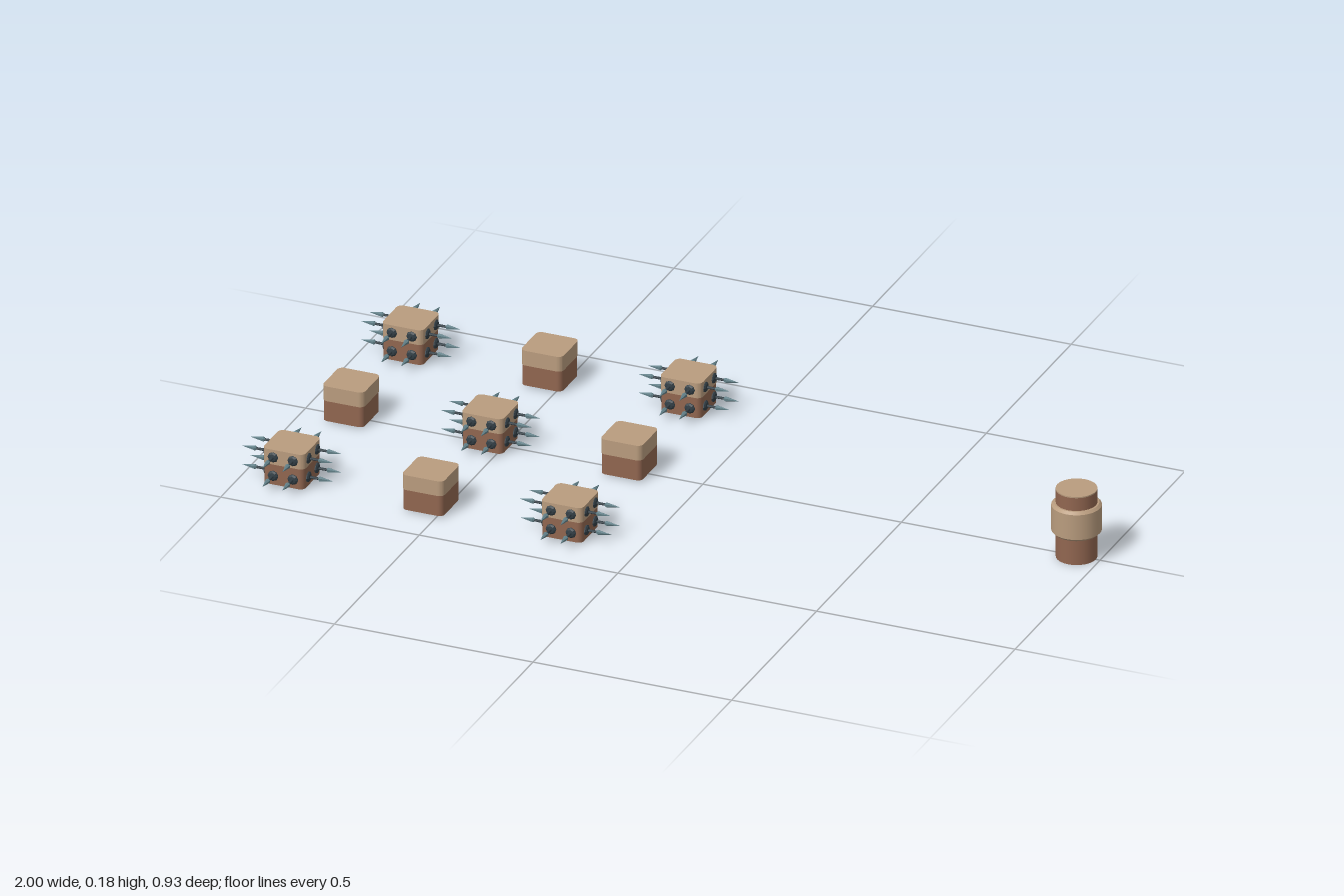
import * as THREE from 'three';

const mat = (name, color, flatShading = false) => {
  const m = new THREE.MeshStandardMaterial({ color, flatShading });
  m.name = name;
  return m;
};

export function createModel() {
  const brown = mat('brown', 0x916650);
  const tan = mat('tan', 0xb99c7e);
  const slate = mat('darkSlate', 0x323e45, true);
  const steel = mat('steelTeal', 0x628088, true);

  const add = (parent, name, geometry, material) => {
    const mesh = new THREE.Mesh(geometry, material);
    mesh.name = name;
    parent.add(mesh);
    return mesh;
  };

  // Upright slab with a rounded square footprint
  const slab = (half, r, y0, y1) => {
    const s = new THREE.Shape();
    const c = half - r;
    [[c, c], [-c, c], [-c, -c], [c, -c]].forEach(([x, y], i) =>
      s.absarc(x, y, r, i * Math.PI / 2, (i + 1) * Math.PI / 2, false));
    return new THREE.ExtrudeGeometry(s, { depth: y1 - y0, bevelEnabled: false, curveSegments: 4 })
      .rotateX(-Math.PI / 2).translate(0, y0, 0);
  };
  const baseGeo = slab(0.0515, 0.013, 0.005, 0.057);
  const capGeo = slab(0.0525, 0.014, 0.057, 0.095);

  // Lathe pieces for a spike, with +y pointing outwards
  const lathe = (points, sides) =>
    new THREE.LatheGeometry(points.map(([r, y]) => new THREE.Vector2(r, y)), sides);
  const socketGeo = lathe([[0, 0.049], [0.013, 0.049], [0.013, 0.054], [0.009, 0.057], [0.0035, 0.058], [0.003, 0.08]], 8);
  const tipGeo = lathe([[0, 0.074], [0.0065, 0.082], [0, 0.115]], 6);

  const makeSpike = () => {
    const spike = new THREE.Group();
    spike.name = 'spike';
    add(spike, 'spikeSocket', socketGeo, slate);
    add(spike, 'spikeTip', tipGeo, steel);
    spike.rotation.x = Math.PI / 2;
    return spike;
  };

  const makeBlock = (spiked) => {
    const block = new THREE.Group();
    block.name = spiked ? 'spikedBlock' : 'plainBlock';
    add(block, 'blockBase', baseGeo, brown);
    add(block, 'blockCap', capGeo, tan);
    if (!spiked) return block;
    // Four spikes on each of the four sides
    for (let side = 0; side < 4; side++) {
      const face = new THREE.Group();
      face.name = 'spikeFace';
      face.rotation.y = side * Math.PI / 2;
      for (const x of [-0.025, 0.025]) {
        for (const y of [0.028, 0.076]) {
          const spike = makeSpike();
          spike.position.set(x, y, 0);
          face.add(spike);
        }
      }
      block.add(face);
    }
    return block;
  };

  const model = new THREE.Group();
  model.name = 'blocksAndPost';

  // Three by three field of alternating spiked and plain blocks
  for (let i = 0; i < 3; i++) {
    for (let j = 0; j < 3; j++) {
      const block = makeBlock((i + j) % 2 === 0);
      block.position.set(-0.885 + 0.35 * i, 0, -0.35 + 0.35 * j);
      model.add(block);
    }
  }

  // Round post with a wide collar
  const post = new THREE.Group();
  post.name = 'post';
  post.position.x = 0.941;
  add(post, 'postShaft', new THREE.CylinderGeometry(0.0485, 0.0485, 0.173, 32).translate(0, 0.0865, 0), brown);
  add(post, 'postLid', new THREE.CylinderGeometry(0.0485, 0.0485, 0.003, 32).translate(0, 0.1745, 0), tan);
  add(post, 'postCollar', new THREE.CylinderGeometry(0.059, 0.059, 0.064, 32).translate(0, 0.102, 0), tan);
  add(post, 'collarTop', new THREE.CylinderGeometry(0.053, 0.059, 0.006, 32).translate(0, 0.137, 0), tan);
  add(post, 'collarBottom', new THREE.CylinderGeometry(0.059, 0.053, 0.006, 32).translate(0, 0.067, 0), tan);
  model.add(post);

  return model;
}
